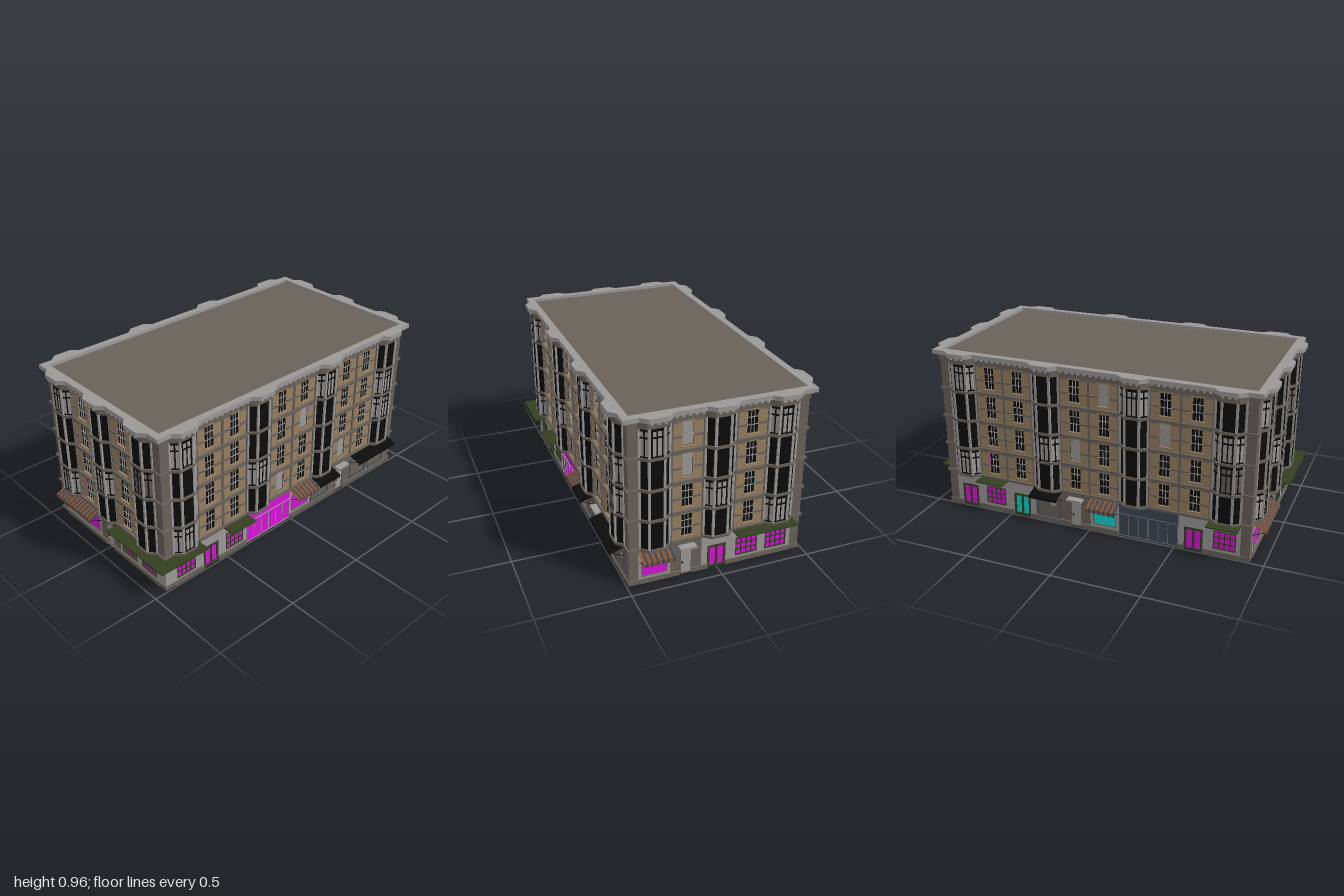
import * as THREE from 'three';
import { mergeGeometries } from 'three/addons/utils/BufferGeometryUtils.js';

const M = 0.173, H = 0.173, Y0 = 0.203;      // module width, storey height, first storey base
const HX = 0.485, HZ = 0.917;                // half extents of the wall planes

const colour = (name, hex) => {
  const m = new THREE.MeshStandardMaterial({ color: hex, side: THREE.DoubleSide });
  m.name = name;
  return m;
};
const tan = colour('tan brick', 0x957f60);
const stone = colour('brown stone', 0x68615a);
const light = colour('light stone', 0x9b9997);
const black = colour('black glass', 0x0c0c0d);
const magenta = colour('magenta glass', 0xdc10dc);
const cyan = colour('cyan glass', 0x10d4d4);
const green = colour('dark green', 0x33401f);
const orange = colour('awning orange', 0x8f5228);
const slate = colour('slate blue', 0x3b4756);

// ---- geometry helpers: each part is [material, geometry] ----
const box = (mat, w, h, d, x, y, z) => [mat, new THREE.BoxGeometry(w, h, d).translate(x, y, z)];
const pane = (mat, w, h, x, y, z) => [mat, new THREE.PlaneGeometry(w, h).translate(x, y, z)];

// Vertical pane standing between two plan points
function panel(mat, [ax, az], [bx, bz], y0, y1, out = 0) {
  const g = new THREE.PlaneGeometry(Math.hypot(bx - ax, bz - az), y1 - y0);
  g.translate(0, 0, out).rotateY(-Math.atan2(bz - az, bx - ax));
  return [mat, g.translate((ax + bx) / 2, (y0 + y1) / 2, (az + bz) / 2)];
}

const rect = (x0, y0, x1, y1) =>
  [[x0, y0], [x1, y0], [x1, y1], [x0, y1]].map(p => new THREE.Vector2(...p));

// Wall sheet with one rectangular opening
function wall(mat, h, x0, y0, x1, y1) {
  const s = new THREE.Shape(rect(-M / 2, 0, M / 2, h));
  s.holes.push(new THREE.Path(rect(x0, y0, x1, y1)));
  return [mat, new THREE.ShapeGeometry(s)];
}

// Plan outline raised into a slab
function slab(mat, plan, y, h, hole) {
  const s = new THREE.Shape(plan.map(([x, z]) => new THREE.Vector2(x, -z)));
  if (hole) s.holes.push(new THREE.Path(hole));
  const g = new THREE.ExtrudeGeometry(s, { depth: h, bevelEnabled: false });
  return [mat, g.rotateX(-Math.PI / 2).translate(0, y, 0)];
}

// Rectangular frame with inner bars
function grille(mat, x0, y0, x1, y1, cols, rows, t, z) {
  const out = [];
  for (let i = 0; i <= cols; i++)
    out.push(box(mat, t, y1 - y0 + t, 0.006, x0 + (x1 - x0) * i / cols, (y0 + y1) / 2, z));
  for (let i = 0; i <= rows; i++)
    out.push(box(mat, x1 - x0, t, 0.006, (x0 + x1) / 2, y0 + (y1 - y0) * i / rows, z));
  return out;
}

// One mesh per colour
function build(name, parts) {
  const group = new THREE.Group();
  group.name = name;
  for (const mat of new Set(parts.map(p => p[0]))) {
    const geos = parts.filter(p => p[0] === mat).map(([, g]) => (g.index ? g.toNonIndexed() : g));
    const mesh = new THREE.Mesh(mergeGeometries(geos), mat);
    mesh.name = `${name} ${mat.name}`;
    group.add(mesh);
  }
  return group;
}

// ---- upper storeys ----
function brickCell(shuttered) {
  const p = [wall(tan, H, -0.028, 0.035, 0.028, 0.16)];
  p.push(pane(shuttered ? light : black, 0.056, 0.125, 0, 0.0975, -0.005));
  if (!shuttered) {
    for (const x of [-0.009, 0.009]) p.push(box(light, 0.003, 0.125, 0.004, x, 0.0975, -0.003));
    for (const y of [0.08, 0.122]) p.push(box(light, 0.056, 0.003, 0.004, 0, y, -0.003));
  }
  p.push(box(stone, M, 0.014, 0.014, 0, 0.007, 0.005), box(tan, 0.068, 0.008, 0.012, 0, 0.031, 0.004));
  for (const s of [-1, 1]) {
    p.push(box(stone, 0.044, 0.01, 0.008, s * 0.058, 0.085, 0.003));
    p.push(box(stone, 0.044, 0.008, 0.008, s * 0.058, 0.166, 0.003));
    p.push(box(stone, 0.006, H, 0.008, s * (M / 2 - 0.003), H / 2, 0.003));
  }
  return build('brickWindowBay', p);
}

const BAY = [[-0.079, 0], [-0.04, 0.035], [0.04, 0.035], [0.079, 0]];
function projectingCell(glass) {
  const p = [];
  for (let i = 0; i < 3; i++) {
    const a = BAY[i], b = BAY[i + 1];
    p.push(panel(glass, a, b, 0, H));
    if (glass !== black) {
      const mid = [(a[0] + b[0]) / 2, (a[1] + b[1]) / 2];
      p.push(panel(black, a, b, 0.118, 0.128, 0.002), panel(black, a, b, 0.016, 0.024, 0.002));
      p.push(panel(black, a, b, 0.155, H, 0.002), box(black, 0.006, H, 0.005, mid[0], H / 2, mid[1]));
    }
  }
  if (glass !== black)
    for (const x of [-0.027, 0.027]) p.push(box(black, 0.007, H, 0.005, x, H / 2, 0.036));
  for (const [x, z] of BAY) p.push(box(light, 0.013, H, 0.01, x, H / 2, z));
  for (const s of [-1, 1]) p.push(pane(stone, 0.012, H, s * 0.081, H / 2, 0));
  p.push(slab(stone, [[-0.0865, 0], [-0.0865, 0.006], [-0.045, 0.042], [0.045, 0.042], [0.0865, 0.006], [0.0865, 0]], 0, 0.015));
  return build('projectingBay', p);
}

// ---- street level ----
function slopedCover(mats, y0, y1, depth, drop) {
  const p = [], w = M / mats.length;
  const slope = Math.atan2(y0 - y1, depth), len = Math.hypot(depth, y0 - y1);
  mats.forEach((mat, i) => {
    const x = -M / 2 + w * (i + 0.5);
    p.push([mat, new THREE.BoxGeometry(w, 0.004, len).rotateX(slope).translate(x, (y0 + y1) / 2, depth / 2)]);
    p.push(box(mat, w, i % 2 ? drop : drop * 0.75, 0.003, x, y1 - drop * (i % 2 ? 0.5 : 0.375), depth));
  });
  for (const s of [-1, 1])
    p.push([black, new THREE.BoxGeometry(0.003, 0.003, depth * 1.1).rotateX(-0.45).translate(s * 0.082, y1 - 0.017, depth / 2)]);
  return p;
}
const stripes = Array.from({ length: 12 }, (_, i) => (i % 2 ? slate : orange));

function streetCell(kind) {
  const [type, tone] = kind.split(':');
  const glass = { c: cyan, s: slate }[tone] || magenta;
  const p = [];
  const opening = (wallMat, mat, hw, y0, y1) => p.push(wall(wallMat, Y0, -hw, y0, hw, y1),
    pane(mat, hw * 2, y1 - y0, 0, (y0 + y1) / 2, -0.004));
  if (type === 'grid') {
    opening(light, glass, 0.06, 0.04, 0.145);
    p.push(...grille(green, -0.06, 0.04, 0.06, 0.145, 4, 3, 0.005, 0));
    p.push(box(green, M, 0.008, 0.083, 0, 0.204, 0.0415));
  } else if (type === 'awning') {
    opening(light, glass, 0.068, 0.04, 0.148);
    p.push(...grille(stone, -0.068, 0.04, 0.068, 0.148, 1, 1, 0.004, 0));
    p.push(...slopedCover(stripes, 0.193, 0.163, 0.068, 0.022));
  } else if (type === 'double') {
    opening(light, glass, 0.05, 0, 0.135);
    p.push(...grille(green, -0.046, 0.006, 0.046, 0.13, 2, 1, 0.012, 0));
  } else if (type === 'door') {
    opening(stone, light, 0.031, 0.005, 0.155);
    p.push(...grille(stone, -0.031, 0.005, 0.031, 0.155, 1, 1, 0.005, 0.002));
    p.push(box(black, 0.005, 0.012, 0.006, -0.02, 0.07, 0));
    if (tone === 'hood') p.push(box(light, 0.09, 0.012, 0.04, 0, 0.176, 0.02));
    else for (const x of [-0.055, 0.055]) p.push(box(black, 0.028, 0.004, 0.01, x, 0.178, 0.005));
  } else if (type === 'dark') {
    opening(stone, stone, 0.07, 0.03, 0.16);
    p.push(...grille(slate, -0.07, 0.03, 0.07, 0.16, 1, 1, 0.005, 0));
    p.push([light, new THREE.CircleGeometry(0.019, 8).translate(0.025, 0.115, -0.002)]);
    p.push(...slopedCover([black], 0.206, 0.184, 0.08, 0.022));
  } else {
    // full-height shop glazing
    const bar = glass === slate ? stone : light;
    p.push(pane(glass, M, Y0, 0, Y0 / 2, 0));
    p.push(...grille(bar, -0.084, 0.004, 0.084, 0.138, 3, 1, 0.003, 0.002));
  }
  // plinth, broken at doorways
  const gap = { double: 0.052, door: 0.034, full: M / 2 }[type] || 0;
  const pw = M / 2 - gap;
  if (pw > 0) for (const s of [-1, 1]) p.push(box(stone, pw, 0.025, 0.01, s * (gap + pw / 2), 0.0125, 0.004));
  return build('streetFront', p);
}

// Plan outline with a bump over every projecting bay
function outline(e) {
  const pts = [];
  [[5, HZ, HX, 2], [10, HX, HZ, 3], [5, HZ, HX, 2], [10, HX, HZ, 3]].forEach(([n, d, half, step], k) => {
    const line = [[-half - e, d + e]];
    for (let i = 0; i < n; i += step) {
      const c = (i - (n - 1) / 2) * M;
      line.push([c - 0.088, d + e], [c - 0.05, d + e + 0.035], [c + 0.05, d + e + 0.035], [c + 0.088, d + e]);
    }
    const a = k * Math.PI / 2, cs = Math.cos(a), sn = Math.sin(a);
    for (const [x, z] of line) pts.push([x * cs + z * sn, -x * sn + z * cs]);
  });
  return pts;
}

const SIDES = [
  { name: 'frontFacade', d: HZ, step: 2, street: 'awning awning door grid grid', clear: '0.0 0.3 2.1', dim: '4.2', shut: '' },
  { name: 'leftFacade', d: HX, step: 3, street: 'grid double grid full full awning dark door:hood dark dark',
    clear: '0.0 0.3 3.1 6.3 9.2 9.1', dim: '', shut: '5.2 4.0 7.0' },
  { name: 'backFacade', d: HZ, step: 2, street: 'awning door:hood double grid grid', clear: '0.3 2.1 4.3 4.0', dim: '', shut: '1.2 1.3' },
  { name: 'rightFacade', d: HX, step: 3, street: 'double grid double:c dark door:hood awning:c full:s full:s double grid',
    clear: '0.0 0.3 3.1 6.3 9.2', dim: '9.1', shut: '4.1 5.3 7.2' },
];

export function createModel() {
  const model = new THREE.Group();
  model.name = 'cornerBuilding';
  const cells = {
    brick: brickCell(false), shuttered: brickCell(true),
    dark: projectingCell(black), clear: projectingCell(light), dim: projectingCell(stone),
  };

  // Four facades, each laid out from its own left to right
  SIDES.forEach((s, k) => {
    const facade = new THREE.Group();
    facade.name = s.name;
    facade.rotation.y = k * Math.PI / 2;
    const street = s.street.split(' ');
    const has = (list, key) => list.split(' ').includes(key);
    const dentils = [];
    street.forEach((kind, i) => {
      const x = (i - (street.length - 1) / 2) * M, bay = i % s.step === 0;
      const shop = streetCell(kind);
      shop.position.set(x, 0, s.d);
      facade.add(shop);
      for (let f = 0; f < 4; f++) {
        const key = `${i}.${f}`;
        const type = bay ? (has(s.clear, key) ? 'clear' : has(s.dim, key) ? 'dim' : 'dark')
          : has(s.shut, key) ? 'shuttered' : 'brick';
        const cell = cells[type].clone();
        cell.position.set(x, Y0 + f * H, s.d);
        facade.add(cell);
      }
      for (let j = -2; j <= 2; j++)
        if (!bay || Math.abs(j) < 2)
          dentils.push(box(light, 0.012, 0.011, 0.012, x + j * 0.034, 0.928, s.d + 0.02 + (bay ? 0.035 : 0)));
    });
    facade.add(build('dentils', dentils));
    model.add(facade);
  });

  // Corner piers with storey bands
  for (const sx of [-1, 1]) for (const sz of [-1, 1]) {
    const x = sx * 0.45875, z = sz * 0.891, lit = sx > 0 && sz > 0;
    const p = [box(stone, 0.0525, 0.7, 0.052, x, 0.55, z), box(lit ? light : stone, 0.0525, 0.2, 0.052, x, 0.1, z),
      box(stone, 0.064, 0.025, 0.064, x, 0.0125, z)];
    for (let f = 0; f < 4; f++) p.push(box(stone, 0.07, 0.014, 0.07, x, Y0 + f * H + 0.007, z));
    model.add(build('cornerPier', p));
  }
  // Canopy wrapping the front corner
  model.add(build('cornerCanopy', [
    box(green, 0.1355, 0.008, 0.083, 0.50025, 0.204, HZ + 0.0415),
    box(green, 0.083, 0.008, 0.052, HX + 0.0415, 0.204, 0.891)]));

  // Frieze, cornice, parapet and roof
  const inner = rect(-0.475, -0.907, 0.475, 0.907);
  model.add(build('cornice', [
    slab(stone, outline(0.004), 0.893, 0.03, inner),
    slab(stone, outline(0.012), 0.921, 0.014, inner),
    slab(light, outline(0.03), 0.935, 0.024, inner)]));
  model.add(build('roof', [[stone, new THREE.PlaneGeometry(0.95, 1.814).rotateX(-Math.PI / 2).translate(0, 0.942, 0)]]));
  return model;
}
